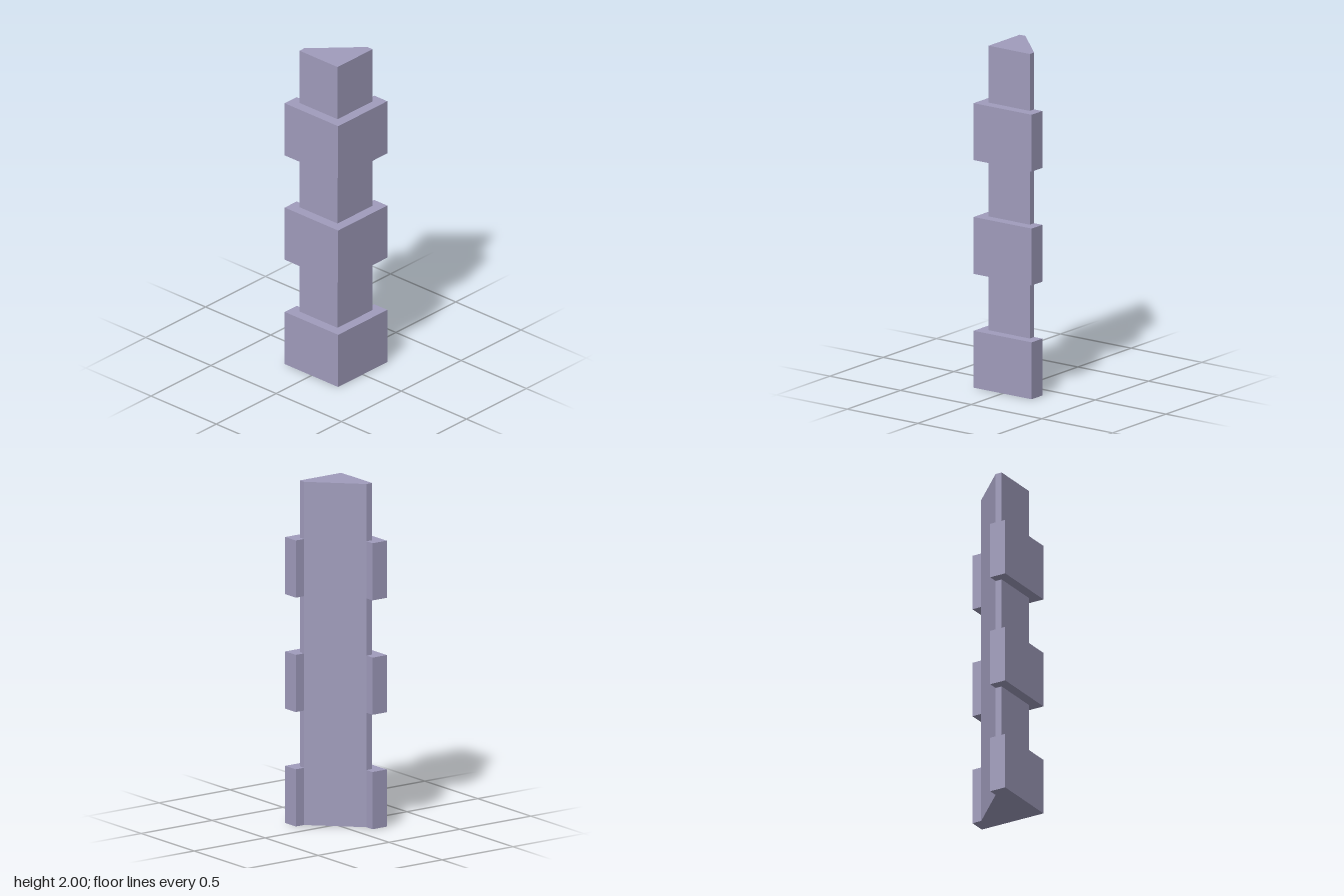
import * as THREE from 'three';

const material = new THREE.MeshStandardMaterial({ color: 0xa09cbc, flatShading: true });

// Footprints as [x, z] corners; both share the same diagonal back face
const stonePlan = [[-0.205, 0.205], [0.205, 0.205], [0.205, -0.205], [0.105, -0.205],
  [0.105, -0.147], [-0.147, 0.105], [-0.205, 0.105]];
const recessPlan = [[-0.147, 0.145], [0.145, 0.145], [0.145, -0.147], [0.105, -0.147], [-0.147, 0.105]];

// Upright prism standing on y = 0
function prism(plan, height) {
  const shape = new THREE.Shape(plan.map(([x, z]) => new THREE.Vector2(x, -z)));
  const geometry = new THREE.ExtrudeGeometry(shape, { depth: height, bevelEnabled: false });
  return geometry.rotateX(-Math.PI / 2);
}

export function createModel() {
  const group = new THREE.Group();
  group.name = 'cornerQuoins';
  const courses = 6;
  const height = 2 / courses;
  const stone = prism(stonePlan, height);
  const recess = prism(recessPlan, height);

  // Alternate wide corner stones and narrow recessed courses
  for (let i = 0; i < courses; i++) {
    const wide = i % 2 === 0;
    const mesh = new THREE.Mesh(wide ? stone : recess, material);
    mesh.name = (wide ? 'cornerStone' : 'recessedCourse') + (Math.floor(i / 2) + 1);
    mesh.position.y = i * height;
    group.add(mesh);
  }
  return group;
}
